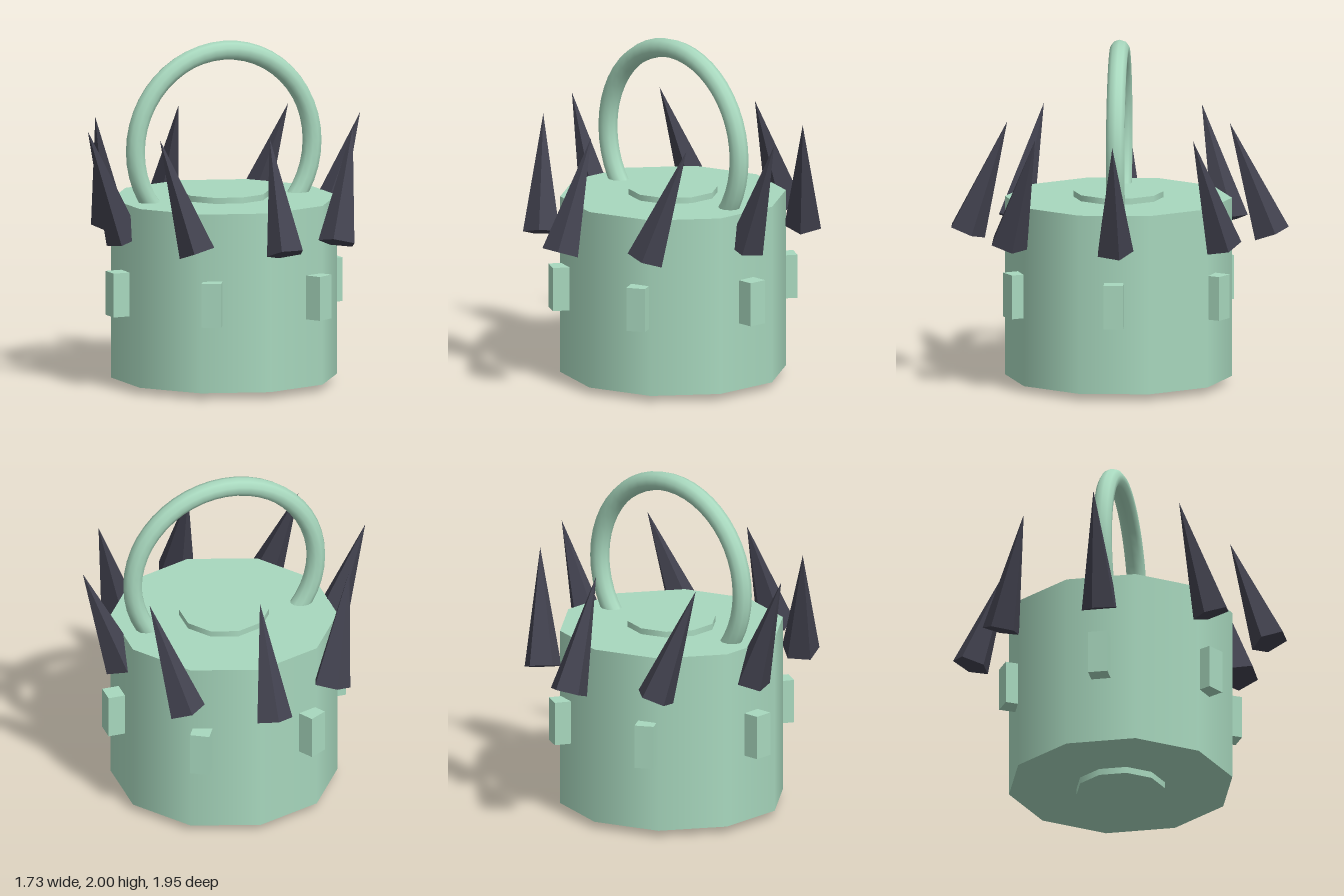
import * as THREE from 'three';

export function createModel() {
  const model = new THREE.Group();
  const green = new THREE.MeshStandardMaterial({ color: 0xa8d8be });
  green.name = 'pale green';
  const dark = new THREE.MeshStandardMaterial({ color: 0x42424f, flatShading: true });
  dark.name = 'dark slate';
  const cz = 0.012; // axis of the body

  function add(name, geometry, material, x, y, z) {
    const mesh = new THREE.Mesh(geometry, material);
    mesh.name = name;
    mesh.position.set(x, y, z + cz);
    model.add(mesh);
    return mesh;
  }

  // Ten-sided drum with a narrower core showing at both ends
  add('body', new THREE.CylinderGeometry(0.657, 0.657, 1.047, 10), green, 0, 0.5615, 0);
  add('core', new THREE.CylinderGeometry(0.26, 0.26, 1.12, 10), green, 0, 0.56, 0);

  // Ring handle, its ends sunk into the top
  const arc = Math.PI * 1.5;
  const handleGeo = new THREE.TorusGeometry(0.56, 0.056, 10, 36, arc);
  handleGeo.rotateZ(-Math.PI / 4);
  add('handle', handleGeo, green, 0, 1.384, -0.004);

  // Six studs around the middle
  const studGeo = new THREE.BoxGeometry(0.16, 0.257, 0.113);
  for (let i = 0; i < 6; i++) {
    const a = (i * Math.PI) / 3;
    const r = 0.645;
    add('stud', studGeo, green, Math.cos(a) * r, 0.563, Math.sin(a) * r).rotation.y = -a;
  }

  // Eight five-sided spikes: front and back lean in, the sides lean out
  const spikeGeo = new THREE.ConeGeometry(0.113, 0.688, 5);
  spikeGeo.rotateY(Math.PI);
  const tilt = 0.35;
  for (let i = 0; i < 8; i++) {
    const a = (i * Math.PI) / 4;
    const spike = add('spike', spikeGeo, dark, Math.sin(a) * 0.745, 1.202, Math.cos(a) * 0.762);
    spike.rotation.set(-tilt * Math.cos(a), 0, -tilt * Math.sin(a));
  }

  return model;
}
